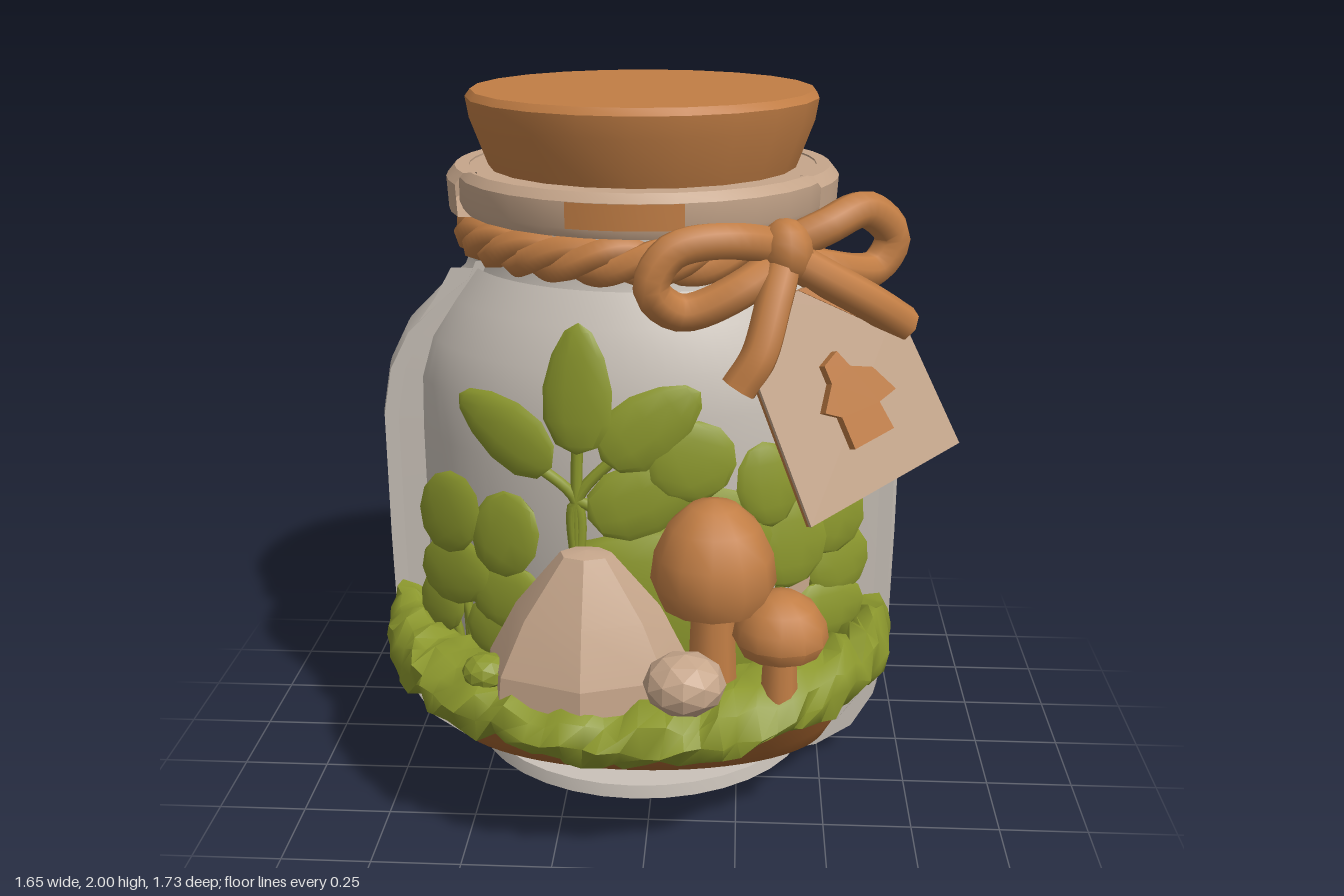
import * as THREE from 'three';
import { toCreasedNormals } from 'three/addons/utils/BufferGeometryUtils.js';

const V = (x, y, z) => new THREE.Vector3(x, y, z);
const mat = (name, color) => {
  const m = new THREE.MeshStandardMaterial({ color, side: THREE.DoubleSide });
  m.name = name;
  return m;
};

// Small repeatable noise in -1..1
let seed = 7;
const noise = () => {
  seed = (seed * 16807) % 2147483647;
  return (seed / 2147483647) * 2 - 1;
};

// Skin a list of rows of points; rows may be closed loops
function skin(rows, closed, crease = 0.6) {
  const n = rows[0].length, idx = [];
  const g = new THREE.BufferGeometry().setFromPoints(rows.flat());
  for (let i = 0; i < rows.length - 1; i++) {
    for (let j = 0; j < (closed ? n : n - 1); j++) {
      const k = (j + 1) % n, a = i * n + j, b = i * n + k, c = a + n, d = b + n;
      idx.push(a, b, c, b, d, c);
    }
  }
  g.setIndex(idx);
  return toCreasedNormals(g, crease);
}

export function createModel() {
  seed = 7;
  const root = new THREE.Group();
  const glass = mat('pale glass', 0xcac2b9);
  const cork = mat('cork orange', 0xc27e45);
  const tan = mat('tan', 0xc6a68b);
  const green = mat('leaf green', 0x8b972d);
  const soilMat = mat('soil brown', 0xa5642f);

  const add = (name, geo, material, x = 0, y = 0, z = 0, parent = root) => {
    const m = new THREE.Mesh(geo, material);
    m.name = name;
    m.position.set(x, y, z);
    parent.add(m);
    return m;
  };
  const lathe = (pts, seg, crease = 0.6, start = 0, sweep = Math.PI * 2) =>
    toCreasedNormals(new THREE.LatheGeometry(pts.map(p => new THREE.Vector2(...p)), seg, start, sweep), crease);
  const tube = (pts, r, closed = false, seg = 20) =>
    new THREE.TubeGeometry(new THREE.CatmullRomCurve3(pts.map(p => V(...p)), closed), seg, r, 8, closed);
  // Point on an upright ellipse, with its centre at depth cz
  const oval = (rx, rz, a, y, cz) => V(-0.05 + rx * Math.cos(a), y, cz + rz * Math.sin(a));
  const range = (n, f) => Array.from({ length: n + 1 }, (_, i) => f(i / n));

  // Jar shell, cut open at the front
  const profile = [[0.47, 0], [0.58, 0.03], [0.68, 0.1], [0.74, 0.21], [0.765, 0.36],
    [0.77, 0.7], [0.77, 1.08], [0.745, 1.22], [0.69, 1.33], [0.59, 1.43], [0.52, 1.49], [0.5, 1.54]];
  const shell = profile.map(([r, y]) => {
    const arc = (rad, h) => {
      const a = Math.acos(0.2 / rad);
      return range(40, u => {
        const t = a + u * (2 * Math.PI - 2 * a);
        return V(-0.05 + rad * Math.sin(t), h, -0.1 + rad * Math.cos(t));
      });
    };
    return [...arc(r, y), ...arc(r - 0.04, y + Math.max(0, 0.05 - y * 0.3)).reverse()];
  });
  add('jarBody', skin(shell, true), glass);
  add('jarFloor', lathe([[0, 0], [0.48, 0], [0.525, 0.02], [0.52, 0.06], [0, 0.06]], 36), glass, -0.05, 0, -0.1);

  // Bulging pane behind the plants, joined to the shell edge and the neck
  const pane = [[0.5, 0.47, 0.53, 1.52], [0.56, 0.52, 0.58, 1.43], [0.63, 0.56, 0.66, 1.32], [0.665, 0.58, 0.72, 1.2],
    [0.67, 0.58, 0.735, 1.05], [0.67, 0.58, 0.735, 0.36], [0.6, 0.48, 0.7, 0.2], [0.55, 0.3, 0.62, 0.1]];
  add('innerPane', skin(pane.map(([rx, rz, edge, y]) => {
    const a = Math.asin(0.2 / rz);
    return [V(-0.05 + edge, y, 0.095), ...range(30, u => oval(rx, rz, a + u * (Math.PI - 2 * a), y, -0.1)),
      V(-0.05 - edge, y, 0.095)];
  }), false), glass);
  // Tan stain on the pane behind the side plant
  add('paneStain', skin([1, 0].map(top => range(6, u =>
    oval(0.678, 0.588, 0.36 + u * 0.5, top ? 0.55 + 0.33 * u : 0.45, -0.1))), false), tan);

  // Neck, collar and stopper
  const nx = -0.05, nz = -0.13;
  add('jarNeck', lathe([[0.46, 1.5], [0.5, 1.5], [0.48, 1.56], [0.48, 1.68], [0.46, 1.68], [0.46, 1.5]], 32),
    glass, nx, 0, nz);
  add('collarFront', lathe([[0.46, 1.67], [0.52, 1.665], [0.53, 1.69], [0.53, 1.76], [0.51, 1.785], [0.42, 1.785]], 28),
    tan, nx, 0, nz);
  add('collarStain', lathe([[0.534, 1.69], [0.534, 1.76]], 8, 0.6, -0.33, 0.6), cork, nx, 0, nz);
  add('collarBack', skin(range(28, u => {
    const a = 1.1 + u * (2 * Math.PI - 2.2);
    return [[0.5, 1.79], [0.54, 1.79], [0.565, 1.76], [0.56, 1.67], [0.5, 1.665]]
      .map(([r, y]) => V(r * Math.sin(a), y, r * Math.cos(a)));
  }), true), tan, nx, 0, nz);
  add('stopper', lathe([[0, 1.75], [0.43, 1.75], [0.45, 1.8], [0.495, 1.92], [0.505, 1.98], [0.49, 2], [0, 2]], 22),
    cork, nx, 0, nz);

  // Twisted cord around the neck
  for (let s = 0; s < 3; s++) {
    const pts = range(143, u => {
      const a = u * (143 / 144) * Math.PI * 2, t = a * 8 + s * Math.PI * 2 / 3;
      const r = 0.488 + 0.024 * Math.cos(t);
      return V(nx + r * Math.sin(a), 1.6 + 0.03 * Math.sin(t), nz + r * Math.cos(a));
    });
    add('neckCord', new THREE.TubeGeometry(new THREE.CatmullRomCurve3(pts, true), 180, 0.04, 6, true), cork);
  }

  // Bow
  const bow = new THREE.Group();
  bow.name = 'bow';
  bow.position.set(0.34, 1.64, 0.42);
  bow.rotation.y = 0.44;
  root.add(bow);
  const cord = (name, pts, closed) => add(name, tube(pts, 0.049, closed, 32), cork, 0, 0, 0, bow);
  cord('bowLoop', [[0, 0, 0], [-0.15, 0.05, 0.03], [-0.31, 0.03, 0.01], [-0.36, -0.06, 0],
    [-0.28, -0.13, 0], [-0.12, -0.07, 0.04]], true);
  cord('bowLoop', [[0, 0, 0], [0.12, 0.07, 0.03], [0.24, 0.1, 0.01], [0.33, 0.02, 0],
    [0.28, -0.06, 0], [0.12, -0.04, 0.04]], true);
  cord('bowTail', [[0, 0, 0.03], [-0.06, -0.1, 0.09], [-0.12, -0.23, 0.13], [-0.17, -0.31, 0.12]]);
  cord('bowTail', [[0, 0, 0.03], [0.1, -0.06, 0.08], [0.22, -0.13, 0.1], [0.33, -0.2, 0.08]]);
  add('bowKnot', new THREE.SphereGeometry(0.08, 10, 8), cork, 0, 0.01, 0.03, bow).scale.set(0.85, 1.1, 1);

  // Hanging tag: tan front, orange back, stained corner and a raised mushroom shape
  const tag = new THREE.Group();
  tag.name = 'tag';
  tag.position.set(0.53, 1.26, 0.5);
  tag.rotation.set(-0.32, 0.5, 0.3, 'YXZ');
  root.add(tag);
  const plate = (name, pts, depth, material, z) => add(name, new THREE.ExtrudeGeometry(
    new THREE.Shape(pts.map(p => new THREE.Vector2(...p))), { depth, bevelEnabled: false }), material, 0, 0, z, tag);
  const outline = [[-0.25, -0.23], [0.255, -0.23], [0.235, 0.18], [0.11, 0.33], [-0.11, 0.33], [-0.23, 0.18]];
  plate('tagFront', outline, 0.012, tan, 0);
  plate('tagBack', outline, 0.013, cork, -0.013);
  plate('tagStain', [[0.235, 0.18], [0.11, 0.33], [-0.02, 0.33], [0.12, 0.19]], 0.004, cork, 0.011);
  plate('tagMushroom', [[-0.06, -0.1], [0.07, -0.1], [0.06, -0.02], [0.12, -0.01], [0.08, 0.07],
    [0.02, 0.1], [0, 0.15], [-0.05, 0.13], [-0.05, 0.08], [-0.1, 0.02], [-0.06, -0.01]], 0.035, cork, 0.005);

  // Soil bowl in the opening
  add('soil', skin([[0.68, 0.64, 0.41], [0.67, 0.54, 0.34], [0.65, 0.48, 0.28], [0.61, 0.4, 0.18],
    [0.57, 0.3, 0.1], [0.54, 0.2, 0.07], [0, 0, 0.07]].map(([rx, rz, y]) =>
    range(32, u => oval(rx, rz, u * Math.PI, y, 0.1))), false), soilMat);

  // Lumpy moss rim
  const moss = range(44, u => {
    const c = Math.cos(u * Math.PI), s = Math.sin(u * Math.PI), row = [];
    for (let j = 0; j < 11; j++) {
      const p = (j / 11) * Math.PI * 2, k = 0.5 + 0.5 * Math.cos(p) + noise() * 0.04;
      row.push(V(-0.05 + c * (0.62 + 0.13 * k) + noise() * 0.012,
        0.405 + 0.055 * Math.abs(c) + 0.095 * Math.sin(p) + noise() * 0.02,
        0.11 + s * (0.36 + 0.37 * k) + Math.max(0, noise()) * 0.02));
    }
    return row;
  });
  add('moss', skin(moss, true, 0.9), green);
  add('mossMound', new THREE.IcosahedronGeometry(1, 2), green, 0.02, 0.58, 0.47).scale.set(0.36, 0.32, 0.08);

  // Rocks
  add('largeRock', lathe([[0.29, 0.45], [0.28, 0.55], [0.2, 0.7], [0.07, 0.86], [0, 0.87]], 7, 0.3),
    tan, -0.16, 0, 0.58).scale.z = 0.72;
  const pebble = (name, m, x, y, z, r) =>
    add(name, toCreasedNormals(new THREE.IcosahedronGeometry(r, 1), 0.3), m, x, y, z).scale.set(1.1, 0.85, 1);
  pebble('smallRock', tan, 0.11, 0.56, 0.73, 0.1);
  pebble('mossPebble', green, -0.43, 0.53, 0.63, 0.06);

  // Mushrooms
  const cap = [[0, 0.25], [0.55, 0], [0.85, 0.08], [1, 0.45], [0.94, 0.9], [0.72, 1.35], [0.38, 1.65], [0, 1.75]];
  for (const [x, y, z, r, h] of [[0.18, 0.72, 0.59, 0.168, 0.174], [0.36, 0.61, 0.63, 0.128, 0.1]]) {
    add('mushroomCap', lathe(cap.map(([a, b]) => [a * r, b * h]), 12, 0.8), cork, x, y, z);
    add('mushroomStem', new THREE.CylinderGeometry(r * 0.34, r * 0.42, y - 0.36, 9), cork, x, (y + 0.44) / 2, z);
  }

  // Leaves: pointed or round thin blades lying just off the pane
  const paneZ = x => -0.1 + 0.58 * Math.sqrt(1 - ((x + 0.05) / 0.67) ** 2);
  const blade = (rx, ry, point) => {
    const g = new THREE.SphereGeometry(1, 10, 6), p = g.attributes.position;
    for (let i = 0; i < p.count; i++) {
      const y = p.getY(i), w = point ? 1 - 0.25 * y : 1;
      p.setXYZ(i, p.getX(i) * rx * w, y * ry, p.getZ(i) * 0.022);
    }
    return toCreasedNormals(g, 0.7);
  };
  const leafZ = x => paneZ(x) + 0.045 + 0.1 * Math.abs(x);
  const leaf = (x, y, rx, ry, roll, point = false) => {
    const l = add('leaf', blade(rx, ry, point), green, x, y, leafZ(x));
    l.rotation.set(-0.1, x * 1.2, roll, 'YXZ');
  };
  // Tall sprout
  for (const [x, y, rx, ry, roll] of [[-0.18, 1.3, 0.095, 0.175, 0], [-0.38, 1.17, 0.09, 0.17, 1.1],
    [0.01, 1.2, 0.095, 0.16, -0.95], [0.0, 1.0, 0.1, 0.17, -1.2]]) {
    leaf(x, y, rx, ry, roll, true);
    add('sproutStem', tube([[-0.19, 0.75, 0.51], [-0.19, 0.98, 0.51],
      [x * 0.6 - 0.075, y - 0.08, 0.51], [x, y, leafZ(x)]], 0.016), green);
  }
  // Round-leaved plants at both sides
  for (const [x, y, rx, ry, roll] of [
    [-0.56, 0.89, 0.13, 0.115, 0.6], [-0.39, 0.87, 0.11, 0.125, -0.4], [-0.55, 0.72, 0.14, 0.1, 0.2],
    [-0.6, 0.6, 0.1, 0.09, 0.4], [-0.38, 0.68, 0.13, 0.1, 0], [-0.4, 0.58, 0.13, 0.1, 0],
    [0.49, 0.89, 0.13, 0.115, -0.3], [0.32, 1.02, 0.09, 0.12, 0.1], [0.53, 0.73, 0.11, 0.1, 0.3],
    [0.38, 0.84, 0.12, 0.13, 0], [0.12, 1.1, 0.12, 0.11, 0.4], [0.5, 0.6, 0.13, 0.09, 0], [0.2, 0.88, 0.14, 0.14, 0]]) {
    leaf(x, y, rx, ry, roll);
    const z = leafZ(x) - 0.015;
    add('leafStem', tube([[x * 0.92, 0.45, z], [x * 0.94, (y + 0.45) / 2, z], [x, y, z]], 0.014, false, 6), green);
  }
  return root;
}
